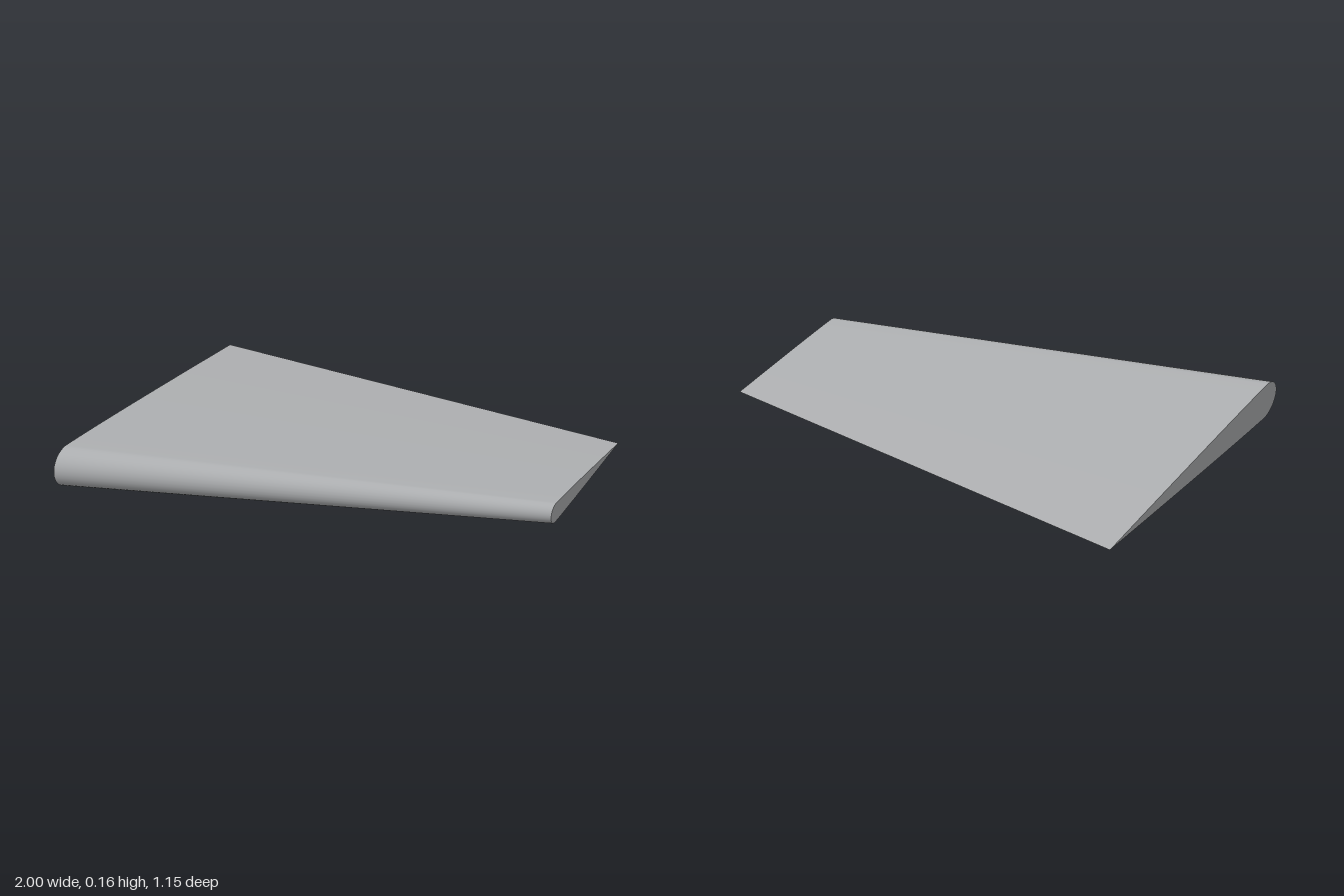
import * as THREE from 'three';

const MID_Y = 0.08;
const root = { noseX: -1, noseZ: 0.572, tailX: -0.625, tailZ: -0.575, r: 0.08 };
const tip = { noseX: 0.81, noseZ: 0.532, tailX: 1, tailZ: -0.05, r: 0.04 };

// Teardrop section: trailing edge, over the top, round the nose, back underneath
function section({ noseX, noseZ, tailX, tailZ, r }) {
  const pts = [];
  const centreZ = noseZ - r;
  const add = (z, y) => {
    const t = (z - tailZ) / (noseZ - tailZ);
    pts.push([tailX + (noseX - tailX) * t, MID_Y + y, z]);
  };
  const steps = 10, arc = 16;
  const side = (k) => r * (1 - Math.pow(1 - k / steps, 1.15));
  for (let k = 0; k < steps; k++) add(tailZ + (centreZ - tailZ) * k / steps, side(k));
  for (let k = 0; k <= arc; k++) {
    const a = Math.PI / 2 - Math.PI * k / arc;
    add(centreZ + r * Math.cos(a), r * Math.sin(a));
  }
  for (let k = steps - 1; k >= 0; k--) add(tailZ + (centreZ - tailZ) * k / steps, -side(k));
  return pts;
}

function build(points, index) {
  const geo = new THREE.BufferGeometry();
  geo.setAttribute('position', new THREE.Float32BufferAttribute(points.flat(), 3));
  geo.setIndex(index);
  geo.computeVertexNormals();
  return geo;
}

// Smooth skin stretched between the two sections, sharp at the trailing edge
function skin(a, b) {
  const n = a.length, index = [];
  for (let j = 0; j < n - 1; j++) {
    index.push(j, j + 1, n + j, j + 1, n + j + 1, n + j);
  }
  return build([...a, ...b], index);
}

// Flat end cap fanned out from the trailing edge
function cap(pts, flip) {
  const index = [];
  for (let j = 1; j < pts.length - 2; j++) {
    index.push(0, flip ? j + 1 : j, flip ? j : j + 1);
  }
  return build(pts, index);
}

export function createModel() {
  const group = new THREE.Group();
  group.name = 'wing';
  const grey = new THREE.MeshStandardMaterial({ color: 0xb0b2b4 });
  grey.name = 'light grey';
  const add = (name, geo) => {
    const mesh = new THREE.Mesh(geo, grey);
    mesh.name = name;
    group.add(mesh);
  };
  const a = section(root), b = section(tip);
  add('wingSkin', skin(a, b));
  add('rootCap', cap(a, true));
  add('tipCap', cap(b, false));
  return group;
}
